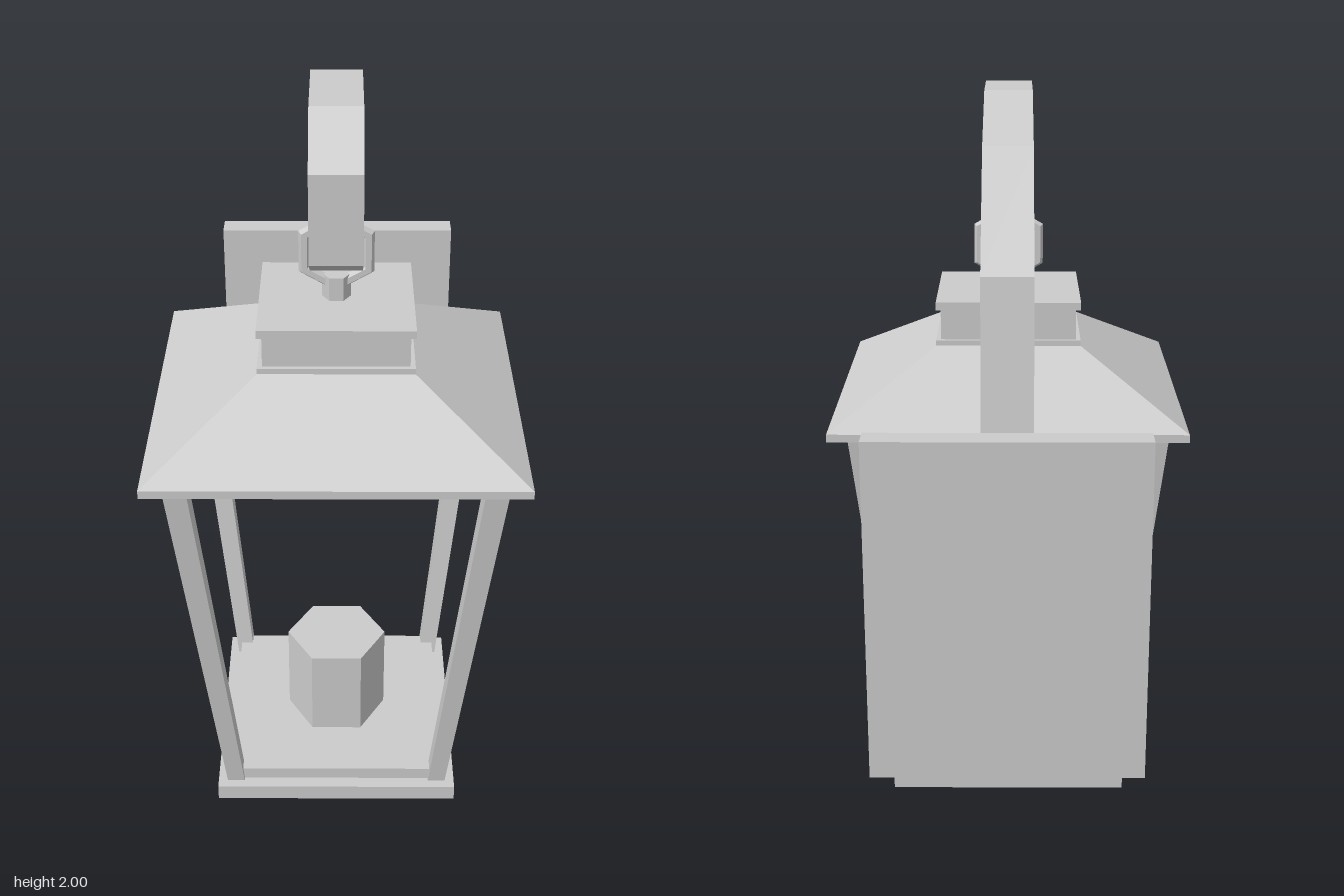
import * as THREE from 'three';

const material = new THREE.MeshStandardMaterial({ color: 0xcccccc, flatShading: true });

function add(parent, name, geometry, x = 0, y = 0, z = 0) {
  const mesh = new THREE.Mesh(geometry, material);
  mesh.name = name;
  mesh.position.set(x, y, z);
  parent.add(mesh);
  return mesh;
}

// Square slab of half width h between two heights
function slab(parent, name, h, y0, y1) {
  return add(parent, name, new THREE.BoxGeometry(2 * h, y1 - y0, 2 * h), 0, (y0 + y1) / 2, 0);
}

// Box whose bottom and top squares differ: [centre, half width] on both x and z
function taperedBox(y0, y1, bottom, top, sx = 1, sz = 1) {
  const g = new THREE.BoxGeometry(2, 2, 2);
  const p = g.attributes.position;
  for (let i = 0; i < p.count; i++) {
    const up = p.getY(i) > 0;
    const [c, h] = up ? top : bottom;
    p.setXYZ(i, sx * c + p.getX(i) * h, up ? y1 : y0, sz * c + p.getZ(i) * h);
  }
  g.computeVertexNormals();
  return g;
}

export function createModel() {
  const model = new THREE.Group();
  model.name = 'wallLantern';

  const lantern = new THREE.Group();
  lantern.name = 'lantern';
  lantern.position.z = 0.2;
  model.add(lantern);

  // Base and floor
  slab(lantern, 'base', 0.336, 0, 0.045);
  slab(lantern, 'floor', 0.3, 0.045, 0.08);

  // Four leaning, tapered corner posts
  for (const sx of [-1, 1]) for (const sz of [-1, 1]) {
    add(lantern, 'cornerPost', taperedBox(0.045, 1.125, [0.286, 0.024], [0.401, 0.03], sx, sz));
  }

  // Roof, neck and cap
  slab(lantern, 'topFrame', 0.41, 1.08, 1.125);
  slab(lantern, 'eave', 0.48, 1.125, 1.147);
  add(lantern, 'roof', taperedBox(1.147, 1.315, [0, 0.48], [0, 0.2]));
  slab(lantern, 'neckBase', 0.2, 1.315, 1.33);
  slab(lantern, 'neck', 0.187, 1.33, 1.415);
  slab(lantern, 'cap', 0.2, 1.415, 1.437);

  // Stem and hanging ring
  add(lantern, 'stem', new THREE.CylinderGeometry(0.037, 0.037, 0.065, 6), 0, 1.468, 0)
    .rotation.y = Math.PI / 2;
  add(lantern, 'ring', new THREE.TorusGeometry(0.095, 0.017, 6, 6), 0, 1.562, 0)
    .rotation.z = Math.PI / 6;

  // Hexagonal candle
  add(lantern, 'candle', new THREE.CylinderGeometry(0.141, 0.141, 0.26, 6), 0, 0.21, 0.005)
    .rotation.y = Math.PI / 2;

  // Curled flat arm, outline drawn as (z, y)
  const outer = [[-0.608, 0.762], [-0.608, 1.08], [-0.527, 1.625], [-0.23, 1.894], [0.085, 2],
    [0.352, 2], [0.487, 1.884], [0.487, 1.656], [0.352, 1.58], [0.178, 1.58]];
  const inner = [[0.156, 1.6], [0.341, 1.602], [0.455, 1.672], [0.455, 1.872], [0.341, 1.978],
    [0.093, 1.978], [-0.214, 1.868], [-0.495, 1.608], [-0.575, 1.015], [-0.575, 0.762]];
  const outline = new THREE.Shape([...outer, ...inner].map(([z, y]) => new THREE.Vector2(z, y)));
  const armGeometry = new THREE.ExtrudeGeometry(outline, { depth: 0.13, bevelEnabled: false });
  armGeometry.translate(0, 0, -0.065).rotateY(-Math.PI / 2);
  add(model, 'arm', armGeometry);

  // Wall plate
  add(model, 'wallPlate', new THREE.BoxGeometry(0.704, 0.905, 0.072), 0, 0.808, -0.644);

  return model;
}
